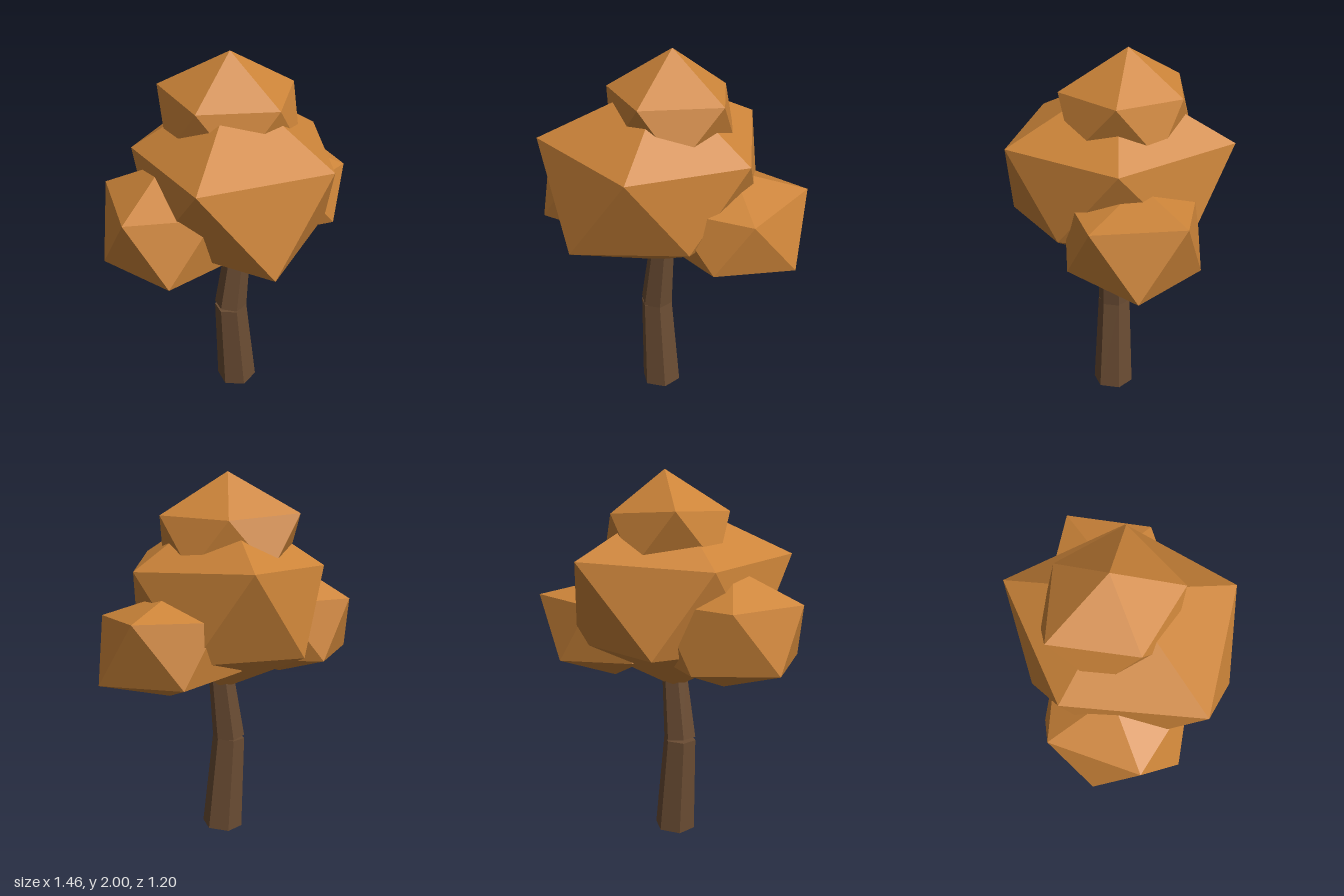
import * as THREE from 'three';
import { ConvexGeometry } from 'three/addons/geometries/ConvexGeometry.js';

const foliage = new THREE.MeshStandardMaterial({ color: 0xcc8439, flatShading: true });
foliage.name = 'autumn orange';
const bark = new THREE.MeshStandardMaterial({ color: 0x6a4c33, flatShading: true });
bark.name = 'bark brown';

// Twenty-sided leaf clump: tip, upper ring of five, lower ring of five, base
function clump(name, tip, upper, lower, base) {
  const points = [tip, ...upper, ...lower, base].map((p) => new THREE.Vector3(...p));
  const mesh = new THREE.Mesh(new ConvexGeometry(points), foliage);
  mesh.name = name;
  return mesh;
}

// Tapered hexagonal log running between two points
function log(name, from, to, r0, r1) {
  const a = new THREE.Vector3(...from);
  const b = new THREE.Vector3(...to);
  const axis = b.clone().sub(a);
  const mesh = new THREE.Mesh(new THREE.CylinderGeometry(r1, r0, axis.length(), 6), bark);
  mesh.position.copy(a).add(b).multiplyScalar(0.5);
  mesh.quaternion.setFromUnitVectors(new THREE.Vector3(0, 1, 0), axis.normalize());
  mesh.name = name;
  return mesh;
}

export function createModel() {
  const tree = new THREE.Group();
  tree.name = 'tree';

  // Trunk, bent at the middle
  tree.add(
    log('lowerTrunk', [0.005, 0.01, 0.03], [-0.033, 0.542, 0.03], 0.113, 0.09),
    log('upperTrunk', [-0.033, 0.547, 0.03], [0.015, 0.95, 0.03], 0.09, 0.068),
  );

  // Large middle clump
  tree.add(clump('middleFoliage', [0, 1.86, 0],
    [[-0.4, 1.56, 0.51], [0.3, 1.54, 0.51], [0.51, 1.52, -0.1], [0.05, 1.56, -0.6], [-0.49, 1.52, -0.18]],
    [[-0.04, 1.07, 0.6], [0.43, 1.12, 0.22], [0.3, 1.1, -0.41], [-0.29, 1.09, -0.41], [-0.48, 1.1, 0.12]],
    [0, 0.83, 0.03]));

  // Crown
  tree.add(clump('topFoliage', [0, 2, -0.05],
    [[-0.31, 1.8, -0.27], [0.09, 1.78, -0.34], [0.36, 1.79, -0.06], [0.12, 1.79, 0.28], [-0.265, 1.79, 0.16]],
    [[0.29, 1.53, 0.17], [-0.09, 1.53, 0.27], [-0.35, 1.53, -0.02], [-0.12, 1.53, -0.37], [0.26, 1.53, -0.25]],
    [0, 1.33, -0.04]));

  // Side clump on the model's right
  tree.add(clump('rightFoliage', [-0.39, 1.52, 0.05],
    [[-0.68, 1.34, 0.26], [-0.27, 1.36, 0.4], [0, 1.35, 0.1], [-0.2, 1.35, -0.28], [-0.63, 1.34, -0.21]],
    [[-0.73, 1.02, 0.03], [-0.52, 1.04, 0.43], [-0.08, 1.03, 0.28], [-0.06, 1.03, -0.15], [-0.45, 1.03, -0.3]],
    [-0.34, 0.895, 0.05]));

  // Side clump on the model's left
  tree.add(clump('leftFoliage', [0.33, 1.42, -0.17],
    [[0.595, 1.33, -0.44], [0.655, 1.29, 0.01], [0.28, 1.31, 0.22], [-0.02, 1.31, -0.11], [0.17, 1.31, -0.43]],
    [[0.725, 0.99, -0.235], [0.53, 1.02, 0.15], [0.1, 1.02, 0.12], [0, 1.01, -0.28], [0.36, 1, -0.485]],
    [0.34, 0.865, -0.12]));

  return tree;
}
